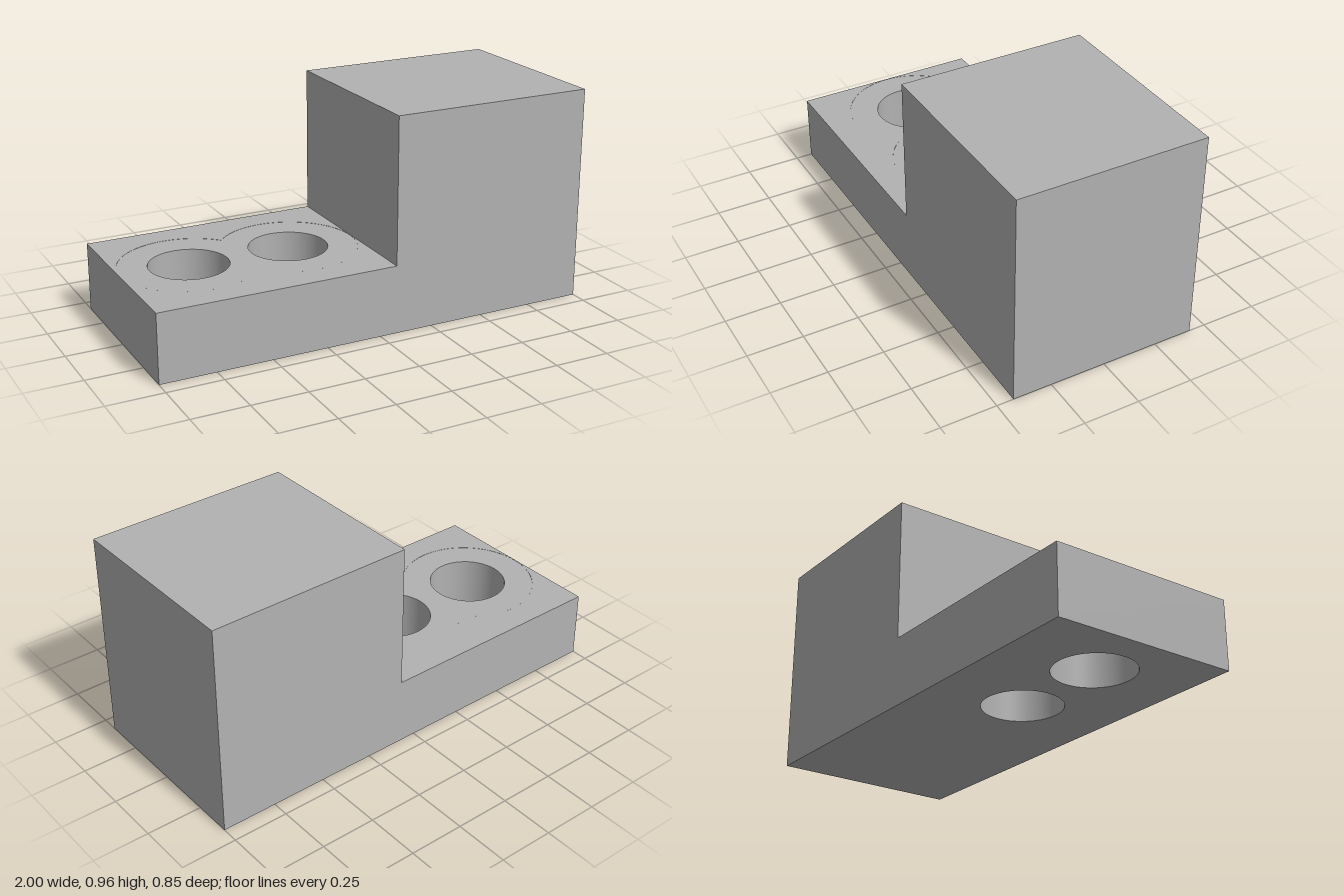
import * as THREE from 'three';

const W = 0.425;           // half depth (z)
const STEP_X = 0.075;      // face of the tall block
const LOW = 0.308, HIGH = 0.963;
const HOLE_R = 0.174, SINK_R = 0.304, SINK = 0.001;
const HOLES = [-0.693, -0.23];

export function createModel() {
  const group = new THREE.Group();
  const grey = new THREE.MeshStandardMaterial({ color: 0xb2b2b2, side: THREE.DoubleSide });
  grey.name = 'grey';

  const add = (name, geometry) => {
    const mesh = new THREE.Mesh(geometry, grey);
    mesh.name = name;
    group.add(mesh);
  };
  const circle = (x, r) => new THREE.Path().absarc(x, 0, r, 0, Math.PI * 2, true);
  const rect = (x0, x1) => new THREE.Shape([[x0, -W], [x1, -W], [x1, W], [x0, W]].map(p => new THREE.Vector2(...p)));
  // Horizontal face from a plan outline, looking up (1) or down (-1)
  const level = (shape, y, dir) =>
    new THREE.ShapeGeometry(shape, 48).rotateX(-dir * Math.PI / 2).translate(0, y, 0);
  // Upright face across the width, looking along +x (1) or -x (-1)
  const upright = (x, y0, y1, dir) =>
    new THREE.PlaneGeometry(2 * W, y1 - y0).rotateY(dir * Math.PI / 2).translate(x, (y0 + y1) / 2, 0);

  // Stepped side faces
  const profile = new THREE.Shape([[-1, 0], [1, 0], [1, HIGH], [STEP_X, HIGH], [STEP_X, LOW], [-1, LOW]]
    .map(p => new THREE.Vector2(...p)));
  add('frontSide', new THREE.ShapeGeometry(profile).translate(0, 0, W));
  add('backSide', new THREE.ShapeGeometry(profile).rotateY(Math.PI).scale(-1, 1, 1).translate(0, 0, -W));
  group.children[1].geometry = new THREE.ShapeGeometry(
    new THREE.Shape(profile.getPoints().map(p => new THREE.Vector2(-p.x, p.y)))).rotateY(Math.PI).translate(0, 0, -W);

  // Ends, step face and block top
  add('plateEnd', upright(-1, 0, LOW, -1));
  add('blockEnd', upright(1, 0, HIGH, 1));
  add('stepFace', upright(STEP_X, LOW, HIGH, -1));
  add('blockTop', level(rect(STEP_X, 1), HIGH, 1));

  // Underside with the two through holes
  const under = rect(-1, 1);
  under.holes = HOLES.map(x => circle(x, HOLE_R));
  add('underside', level(under, 0, -1));

  // Plate top around a very shallow recess of two merged circles
  const gap = Math.acos((HOLES[1] - HOLES[0]) / 2 / SINK_R);
  const recess = new THREE.Shape();
  recess.absarc(HOLES[0], 0, SINK_R, gap, 2 * Math.PI - gap, false);
  recess.absarc(HOLES[1], 0, SINK_R, gap - Math.PI, Math.PI - gap, false);
  const rim = rect(-1, STEP_X);
  rim.holes = [new THREE.Path(recess.getPoints(48))];
  add('plateTop', level(rim, LOW, 1));
  recess.holes = HOLES.map(x => circle(x, HOLE_R));
  add('recessFloor', level(recess, LOW - SINK, 1));

  // Bores and recess walls
  HOLES.forEach((x, i) => {
    add('bore', new THREE.CylinderGeometry(HOLE_R, HOLE_R, LOW - SINK, 96, 1, true)
      .translate(x, (LOW - SINK) / 2, 0));
    add('recessWall', new THREE.CylinderGeometry(SINK_R, SINK_R, SINK, 72, 1, true,
      (i ? -1 : 1) * Math.PI / 2 + gap, 2 * (Math.PI - gap)).translate(x, LOW - SINK / 2, 0));
  });
  return group;
}
